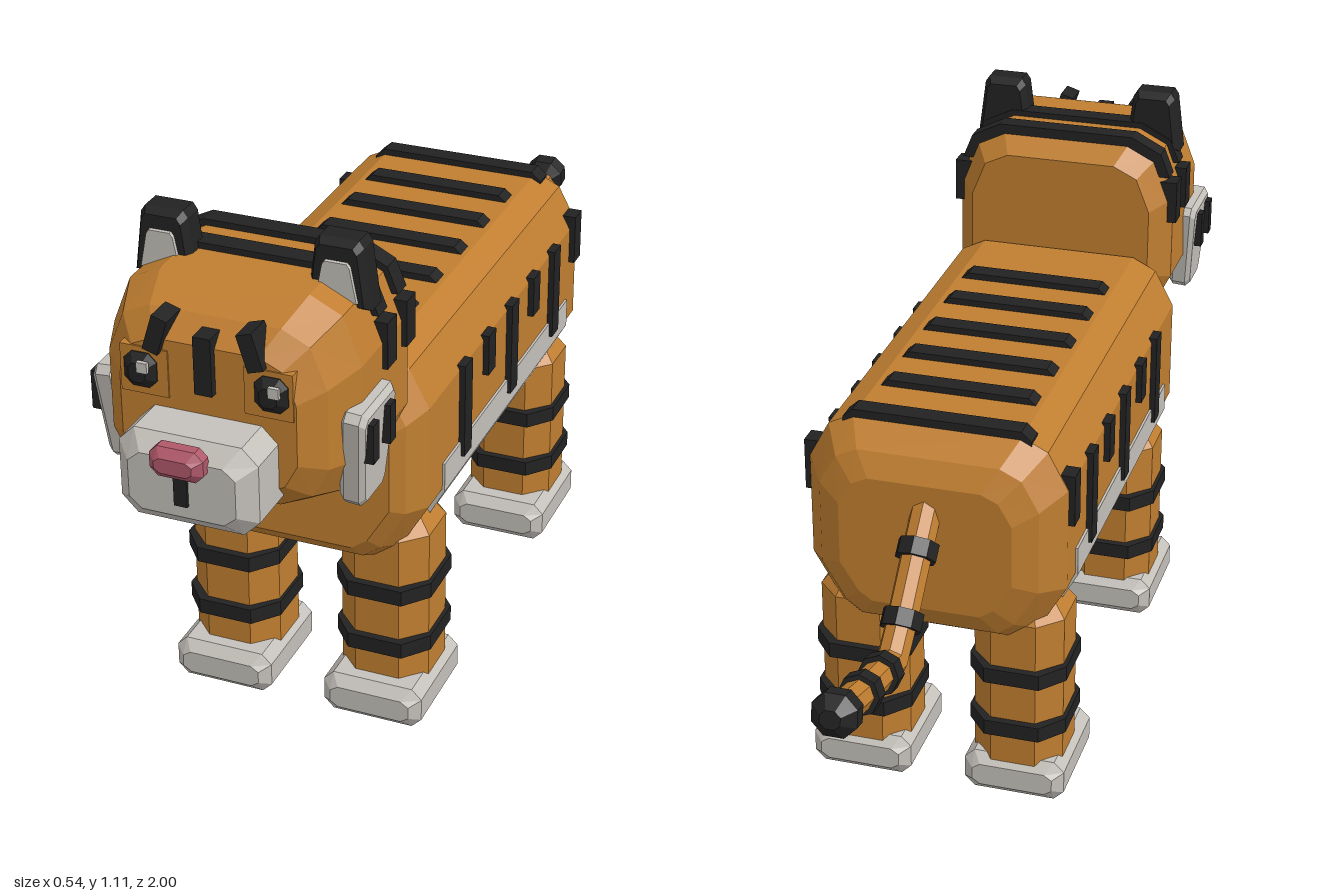
import * as THREE from 'three';

const mat = (name, color) => Object.assign(new THREE.MeshStandardMaterial({ color }), { name });

// Loft along z: half outline (x > 0, top to bottom) is mirrored; rings are [z, inset], z increasing
function loft(half, rings) {
  const pts = [...half.map(([x, y]) => [-x, y]), ...half.slice().reverse()];
  const ys = half.map((p) => p[1]);
  const cy = (Math.max(...ys) + Math.min(...ys)) / 2;
  const hh = (Math.max(...ys) - Math.min(...ys)) / 2;
  const hw = Math.max(...half.map((p) => p[0]));
  const loops = rings.map(([z, inset]) =>
    pts.map(([x, y]) => [x * (1 - inset / hw), cy + (y - cy) * (1 - inset / hh), z]));
  const v = [];
  const tri = (a, b, c) => v.push(...a, ...b, ...c);
  const n = pts.length;
  for (let i = 0; i < loops.length - 1; i++) {
    for (let j = 0; j < n; j++) {
      const k = (j + 1) % n, A = loops[i], B = loops[i + 1];
      tri(A[j], A[k], B[k]);
      tri(A[j], B[k], B[j]);
    }
  }
  const back = loops[0], front = loops[loops.length - 1];
  for (let j = 1; j < n - 1; j++) {
    tri(front[0], front[j], front[j + 1]);
    tri(back[0], back[j + 1], back[j]);
  }
  const g = new THREE.BufferGeometry();
  g.setAttribute('position', new THREE.Float32BufferAttribute(v, 3));
  g.computeVertexNormals();
  return g;
}

// Centred box with chamfered edges
function bevelBox(w, h, d, b) {
  const x = w / 2, y = h / 2, z = d / 2;
  return loft([[x - b, y], [x, y - b], [x, b - y], [x - b, -y]],
    [[-z, b], [b - z, 0], [z - b, 0], [z, b]]);
}

const flat = (g) => {
  const f = g.toNonIndexed();
  f.computeVertexNormals();
  return f;
};

export function createModel() {
  const orange = mat('orange fur', 0xc07e30);
  const black = mat('black stripes', 0x222222);
  const white = mat('white fur', 0xc4c0ba);
  const pink = mat('pink nose', 0xb0586a);

  const model = new THREE.Group();
  model.name = 'tiger';
  const add = (name, geo, material, x = 0, y = 0, z = 0, rz = 0) => {
    const m = new THREE.Mesh(geo, material);
    m.name = name;
    m.position.set(x, y, z);
    m.rotation.z = rz;
    model.add(m);
    return m;
  };
  const box = (w, h, d) => new THREE.BoxGeometry(w, h, d);
  const bar = (half, depth) => loft(half, [[-depth / 2, 0], [depth / 2, 0]]);

  // Body and belly
  add('body', loft(
    [[0.165, 0.79], [0.215, 0.765], [0.255, 0.69], [0.255, 0.48], [0.2, 0.385], [0.16, 0.355]],
    [[-0.475, 0.085], [-0.45, 0.04], [-0.39, 0], [0.47, 0], [0.525, 0.025], [0.545, 0.05]]), orange);
  add('belly', loft([[0.26, 0.535], [0.26, 0.475], [0.205, 0.375], [0.17, 0.345]],
    [[-0.33, 0], [0.4, 0]]), white);

  // Body stripes: across the back and down each flank
  [0.285, 0.155, 0.02, -0.11, -0.24, -0.375].forEach((z, i) => {
    const w = i === 5 ? 0.185 : 0.16;
    add('backStripe', bar([[w - 0.02, 0.803], [w, 0.785], [w, 0.765]], 0.04), black, 0, 0, z);
    const low = i === 5 ? 0.615 : i % 2 ? 0.615 : 0.505;
    const high = i === 5 ? 0.72 : 0.7;
    for (const s of [-1, 1])
      add('flankStripe', box(0.05, high - low, 0.04), black, s * 0.242, (low + high) / 2, z + 0.008);
  });

  // Legs, leg bands and paws
  for (const s of [-1, 1]) for (const [z, pawZ] of [[0.4, 0.415], [-0.33, -0.31]]) {
    const leg = loft([[0.045, 0.09], [0.09, 0.045], [0.09, -0.045], [0.045, -0.09]],
      [[0, 0.035], [0.04, 0], [0.4, 0], [0.44, 0.03]]).rotateX(-Math.PI / 2);
    add('leg', leg, orange, s * 0.157, 0, z);
    for (const y of [0.165, 0.285]) {
      const band = bar([[0.055, 0.105], [0.097, 0.055], [0.097, -0.055], [0.055, -0.105]], 0.032);
      add('legBand', band.rotateX(-Math.PI / 2), black, s * 0.158, y, z);
    }
    add('paw', bevelBox(0.203, 0.086, 0.24, 0.02), white, s * 0.158, 0.047, pawZ);
  }

  // Head, muzzle, nose and mouth
  add('head', loft(
    [[0.14, 1.03], [0.2, 1.0], [0.235, 0.91], [0.235, 0.73], [0.2, 0.66], [0.13, 0.625]],
    [[0.475, 0.04], [0.53, 0], [0.74, 0], [0.82, 0.03], [0.86, 0.07]]), orange);
  add('muzzle', bevelBox(0.26, 0.17, 0.17, 0.03), white, 0, 0.745, 0.885);
  add('nose', bevelBox(0.1, 0.058, 0.05, 0.015), pink, 0, 0.802, 0.975);
  add('mouth', box(0.025, 0.056, 0.02), black, 0, 0.742, 0.966);

  // Forehead stripes and bars over the crown
  add('foreheadStripe', box(0.033, 0.11, 0.04), black, 0, 0.93, 0.855);
  for (const z of [0.538, 0.628])
    add('crownStripe', bar([[0.145, 1.042], [0.208, 1.01], [0.228, 0.96]], 0.04), black, 0, 0, z);

  for (const s of [-1, 1]) {
    add('browStripe', box(0.03, 0.07, 0.055), black, s * 0.088, 0.973, 0.847, s * 0.3);

    // Eyes
    add('eyeSocket', box(0.09, 0.09, 0.02), orange, s * 0.116, 0.895, 0.853);
    add('eye', bevelBox(0.062, 0.066, 0.04, 0.015), black, s * 0.122, 0.897, 0.86);
    add('eyeHighlight', box(0.02, 0.02, 0.008), white, s * 0.122 + 0.012, 0.911, 0.881);

    // Ears with pale inner faces
    add('ear', loft([[0.036, 1.108], [0.045, 1.095], [0.06, 0.98]],
      [[0.61, 0.012], [0.628, 0], [0.668, 0], [0.684, 0.01]]), black, s * 0.165);
    add('innerEar', loft([[0.022, 1.075], [0.028, 1.067], [0.042, 0.995]],
      [[0.67, 0], [0.69, 0.004]]), white, s * 0.166);

    // Cheek tufts and their stripes
    const cheek = loft([[0.066, 0.1], [0.078, 0.085], [0.052, -0.085], [0.04, -0.097]],
      [[-0.024, 0.01], [-0.014, 0], [0.014, 0], [0.024, 0.01]]).rotateY(Math.PI / 2);
    add('cheekTuft', cheek, white, s * 0.23, 0.742, 0.717, -s * 0.07);
    for (const z of [0.687, 0.763])
      add('cheekStripe', box(0.03, 0.076, 0.026), black, s * 0.255, 0.782, z);

    // Stripes on the sides of the head
    for (const z of [0.538, 0.628])
      add('templeStripe', box(0.04, 0.09, 0.042), black, s * 0.225, 0.905, z);
  }

  // Tail: faceted segments along a bent path
  const up = new THREE.Vector3(0, 1, 0);
  const rod = (name, a, b, r, material) => {
    const p = new THREE.Vector3(0, a[1], a[0]), q = new THREE.Vector3(0, b[1], b[0]);
    const d = q.clone().sub(p);
    const m = add(name, flat(new THREE.CylinderGeometry(r, r, d.length(), 8)), material);
    m.position.copy(p).add(q).multiplyScalar(0.5);
    m.quaternion.setFromUnitVectors(up, d.normalize());
  };
  const path = [[-0.44, 0.665], [-0.517, 0.592], [-0.612, 0.497], [-0.675, 0.444],
    [-0.735, 0.458], [-0.84, 0.483], [-0.95, 0.515]];
  for (let i = 0; i < path.length - 1; i++) {
    const [a, b] = [path[i], path[i + 1]];
    rod('tailSegment', a, b, 0.03, orange);
    if (i === 2 || i === 5) continue;
    const len = Math.hypot(b[0] - a[0], b[1] - a[1]);
    const dz = (b[0] - a[0]) / len * 0.017, dy = (b[1] - a[1]) / len * 0.017;
    rod('tailBand', [b[0] - dz, b[1] - dy], [b[0] + dz, b[1] + dy], 0.04, black);
  }
  add('tailTip', bevelBox(0.084, 0.08, 0.075, 0.023), black, 0, 0.521, -0.9625).rotation.x = 0.2;

  return model;
}
